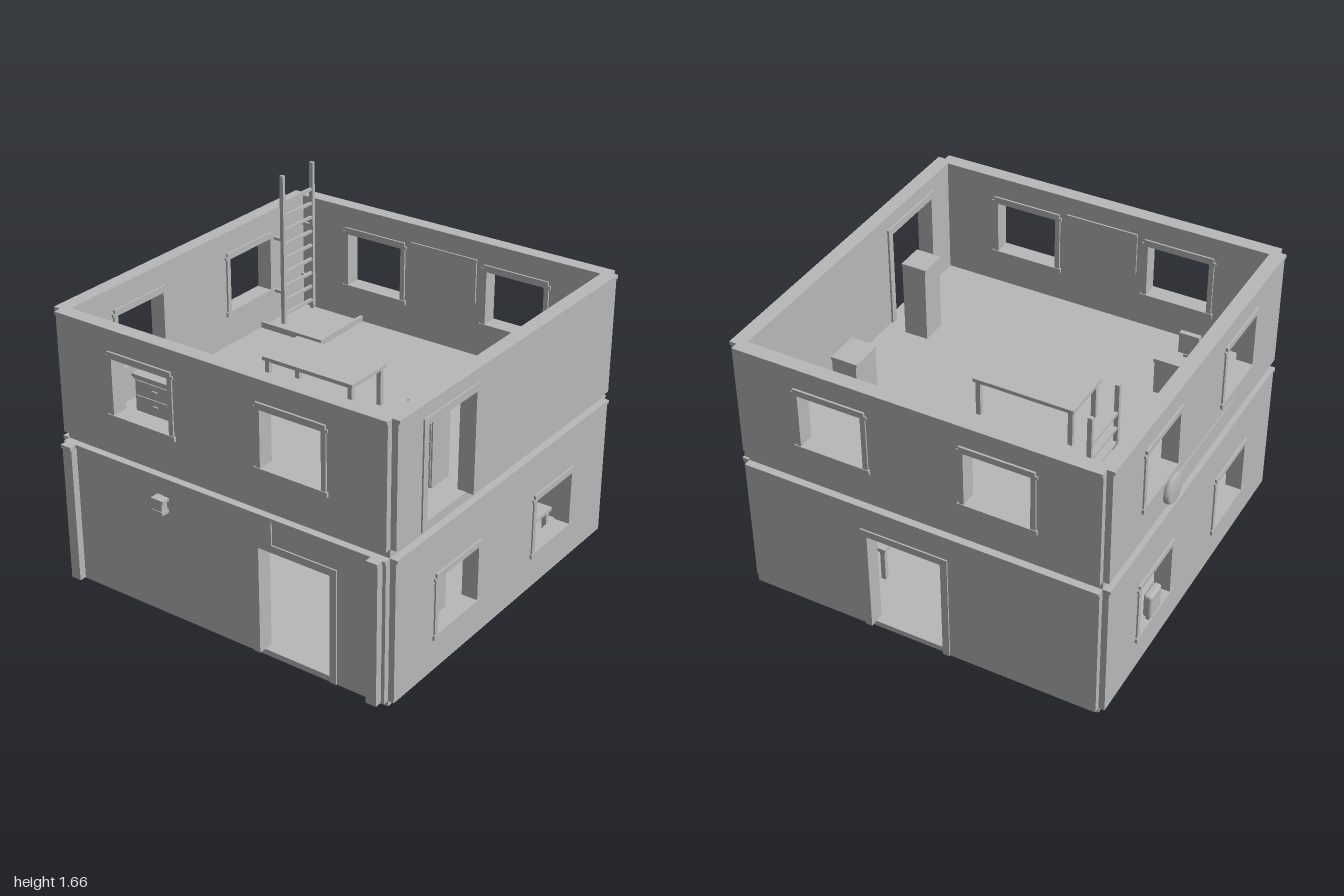
import * as THREE from 'three';
import { RoundedBoxGeometry } from 'three/addons/geometries/RoundedBoxGeometry.js';

const grey = new THREE.MeshStandardMaterial({ color: 0xb8b8b8 });
grey.name = 'plain grey';

const CORE = 0.937, INNER = 0.9, OUTER = 0.968, RIM = 0.976;

function add(parent, geometry, name) {
  const mesh = new THREE.Mesh(geometry, grey);
  mesh.name = name;
  parent.add(mesh);
  return mesh;
}

// Box given by its limits along each axis
function box(parent, name, x0, x1, y0, y1, z0, z1) {
  const mesh = add(parent, new THREE.BoxGeometry(x1 - x0, y1 - y0, z1 - z0), name);
  mesh.position.set((x0 + x1) / 2, (y0 + y1) / 2, (z0 + z1) / 2);
  return mesh;
}

// Cased opening: stepped window frame with sill, or plain door frame
function frame(parent, o) {
  const g = new THREE.Group();
  g.name = o.door ? 'doorFrame' : 'windowFrame';
  parent.add(g);
  const w = o.door ? 0.036 : 0.026, z0 = INNER - 0.01, z1 = RIM;
  for (const s of [-1, 1]) {
    const a = o.u + s * o.half, b = a + s * w;
    box(g, 'jamb', Math.min(a, b), Math.max(a, b), o.y0, o.y1, z0, z1);
  }
  if (o.door) {
    box(g, 'lintel', o.u - o.half - w, o.u + o.half + w, o.y1, o.y1 + 0.038, z0, z1);
  } else {
    box(g, 'lintel', o.u - o.half - 0.034, o.u + o.half + 0.034, o.y1 - 0.015, o.y1, z0, z1);
    box(g, 'lintelCap', o.u - o.half - 0.022, o.u + o.half + 0.022, o.y1, o.y1 + 0.02, z0, z1 + 0.003);
    box(g, 'sill', o.u - o.half - 0.034, o.u + o.half + 0.034, o.y0 - 0.025, o.y0, z0 - 0.004, z1 + 0.004);
  }
}

// One wall panel with openings and a top moulding, turned to its side
function wall(parent, name, angle, y0, y1, openings) {
  const g = new THREE.Group();
  g.name = name;
  g.rotation.y = angle;
  parent.add(g);
  const shape = new THREE.Shape();
  const bottomUp = [[-CORE, y0]];
  // Doors cut the bottom edge, windows become holes
  for (const o of openings.filter((p) => p.door)) {
    bottomUp.push([o.u - o.half, y0], [o.u - o.half, o.y1], [o.u + o.half, o.y1], [o.u + o.half, y0]);
  }
  bottomUp.push([CORE, y0], [CORE, y1], [-CORE, y1]);
  shape.setFromPoints(bottomUp.map((p) => new THREE.Vector2(...p)));
  for (const o of openings) {
    if (!o.door) {
      const a = o.u - o.half, b = o.u + o.half;
      shape.holes.push(new THREE.Path([[a, o.y0], [a, o.y1], [b, o.y1], [b, o.y0]].map((p) => new THREE.Vector2(...p))));
    }
    frame(g, o);
  }
  add(g, new THREE.ExtrudeGeometry(shape, { depth: OUTER - INNER, bevelEnabled: false }), 'wallPanel').position.z = INNER;
  box(g, 'moulding', -CORE, CORE, y1 - 0.018, y1, OUTER - 0.002, RIM);
  return g;
}

const windows = (y) => [-0.43, 0.43].map((u) => ({ u, half: 0.167, y0: y + 0.195, y1: y + 0.5 }));
const door = (u, half, y0, y1) => [{ u, half, y0, y1, door: true }];

// Table with four legs
function table(parent, name, x0, x1, z0, z1, y0, y1) {
  const g = new THREE.Group();
  g.name = name;
  parent.add(g);
  box(g, 'tableTop', x0, x1, y1 - 0.02, y1, z0, z1);
  for (const x of [x0 + 0.01, x1 - 0.035]) {
    for (const z of [z0 + 0.01, z1 - 0.035]) box(g, 'leg', x, x + 0.025, y0, y1 - 0.02, z, z + 0.025);
  }
  return g;
}

// Cabinet with drawer fronts and knobs facing the front
function cabinet(parent, name, x0, x1, z0, z1, y0, y1, rows) {
  const g = new THREE.Group();
  g.name = name;
  parent.add(g);
  box(g, 'carcass', x0 + 0.005, x1 - 0.005, y0, y1 - 0.015, z0, z1 - 0.008);
  box(g, 'top', x0, x1, y1 - 0.015, y1, z0, z1);
  const h = (y1 - y0 - 0.03) / rows;
  for (let i = 0; i < rows; i++) {
    const y = y0 + 0.01 + i * h;
    box(g, 'drawerFront', x0 + 0.012, x1 - 0.012, y + 0.004, y + h - 0.004, z1 - 0.01, z1 - 0.002);
    box(g, 'handle', (x0 + x1) / 2 - 0.015, (x0 + x1) / 2 + 0.015, y + h / 2, y + h / 2 + 0.008, z1 - 0.002, z1 + 0.006);
  }
}

export function createModel() {
  const root = new THREE.Group();
  root.name = 'twoStoreyBuilding';
  const shell = new THREE.Group();
  shell.name = 'shell';
  shell.position.set(0.008, 0, -0.024);
  root.add(shell);

  // Floors
  box(shell, 'groundSlab', -CORE, CORE, 0, 0.03, -CORE, CORE);
  box(shell, 'upperFloor', -CORE, CORE, 0.775, 0.827, -CORE, CORE);

  // Walls, with local +z pointing outwards
  const Q = Math.PI / 2;
  const front = wall(shell, 'lowerFrontWall', 0, 0.03, 0.78, door(0.442, 0.2, 0.03, 0.602));
  wall(shell, 'lowerRightSideWall', Q, 0.03, 0.78, windows(0.03));
  wall(shell, 'lowerBackWall', 2 * Q, 0.03, 0.78, door(-0.07, 0.198, 0.03, 0.602));
  wall(shell, 'lowerLeftSideWall', -Q, 0.03, 0.78, windows(0.03));
  const upperFront = wall(shell, 'upperFrontWall', 0, 0.825, 1.46, windows(0.825));
  wall(shell, 'upperRightSideWall', Q, 0.825, 1.46, door(-0.521, 0.19, 0.825, 1.347));
  const upperBack = wall(shell, 'upperBackWall', 2 * Q, 0.825, 1.46, windows(0.825));
  const upperSide = wall(shell, 'upperLeftSideWall', -Q, 0.825, 1.46, windows(0.825));

  // Boards inside the upper storey
  for (const w of [upperFront, upperBack]) box(w, 'wallBoard', -0.2, 0.2, 1.12, 1.36, INNER - 0.009, INNER + 0.001);

  // Front pilasters, shop board and lantern
  for (const s of [-1, 1]) {
    box(front, 'pilaster', s * 0.891 - 0.028, s * 0.891 + 0.028, 0.03, 0.762, OUTER - 0.01, 1.006);
    box(front, 'pilasterCap', s * 0.891 - 0.03, s * 0.891 + 0.03, 0.762, 0.78, OUTER - 0.01, 1.014);
  }
  box(front, 'signBoard', -0.318, 0.317, 0.636, 0.77, OUTER - 0.002, RIM);
  const lantern = new THREE.Group();
  lantern.name = 'lantern';
  lantern.position.set(-0.318, 0, 0.998);
  front.add(lantern);
  box(lantern, 'cap', -0.036, 0.036, 0.668, 0.684, -0.025, 0.024);
  box(lantern, 'body', -0.024, 0.024, 0.622, 0.668, -0.022, 0.018);
  box(lantern, 'foot', -0.03, 0.03, 0.602, 0.622, -0.025, 0.022);

  // Side board, round drum and rounded box on the -x side
  box(upperSide, 'sideBoard', -0.33, 0.4, 0.845, 0.945, OUTER - 0.002, OUTER + 0.006);
  const profile = [[0, 0], [0.08, 0], [0.08, 0.022], [0.07, 0.034], [0, 0.034]].map((p) => new THREE.Vector2(...p));
  const drum = add(root, new THREE.LatheGeometry(profile, 32), 'wallDrum');
  drum.rotation.z = Q;
  drum.position.set(-0.957, 0.92, -0.34);
  const pod = add(root, new RoundedBoxGeometry(0.045, 0.135, 0.115, 3, 0.014), 'hangingBox');
  pod.position.set(-0.967, 0.343, -0.493);
  box(root, 'hangingBoxBracket', -0.965, -0.945, 0.215, 0.29, -0.51, -0.475);

  // Roof ladder with wall brackets
  const ladder = new THREE.Group();
  ladder.name = 'ladder';
  root.add(ladder);
  for (const z of [-0.665, -0.922]) {
    box(ladder, 'rail', -0.835, -0.813, 0.827, 1.665, z, z + 0.02);
    for (const y of [1.0, 1.3]) box(ladder, 'bracket', -0.9, -0.83, y, y + 0.015, z + 0.002, z + 0.018);
  }
  for (let i = 0; i < 9; i++) {
    const y = 1.51 - i * 0.08;
    box(ladder, 'rung', -0.832, -0.816, y, y + 0.014, -0.91, -0.655);
  }

  // Floor curb around the ladder
  const curb = new THREE.Group();
  curb.name = 'hatchCurb';
  root.add(curb);
  box(curb, 'curbSide', -0.51, -0.495, 0.82, 0.86, -0.92, -0.54);
  box(curb, 'curbFront', -0.89, -0.51, 0.82, 0.86, -0.555, -0.54);

  // Upper storey furniture
  table(root, 'longTable', -0.39, 0.155, -0.2, 0.09, 0.827, 1.045);
  cabinet(root, 'lowCabinet', 0.655, 0.8, -0.44, -0.255, 0.827, 1.1, 3);
  cabinet(root, 'tallCabinet', 0.665, 0.805, 0.23, 0.38, 0.827, 1.245, 5);
  cabinet(root, 'desk', -0.8, -0.53, 0.38, 0.58, 0.827, 1.02, 2);
  box(root, 'deskTop', -0.805, -0.53, 1.015, 1.03, 0.375, 0.585);
  box(root, 'screenFoot', -0.7, -0.65, 1.03, 1.045, 0.46, 0.5);
  box(root, 'screen', -0.725, -0.62, 1.045, 1.16, 0.465, 0.492);

  // Lower storey furniture
  table(root, 'counter', 0.38, 0.84, -0.7, -0.35, 0.03, 0.235);
  box(root, 'counterTray', 0.51, 0.68, 0.235, 0.247, -0.6, -0.42);
  const stool = new THREE.Group();
  stool.name = 'chair';
  root.add(stool);
  box(stool, 'back', 0.39, 0.49, 0.07, 0.175, -0.27, -0.25);
  box(stool, 'seat', 0.39, 0.49, 0.11, 0.13, -0.35, -0.25);
  for (const x of [0.395, 0.465]) {
    for (const z of [-0.345, -0.275]) box(stool, 'leg', x, x + 0.02, 0.03, 0.11, z, z + 0.02);
  }
  cabinet(root, 'lowerCabinet', 0.69, 0.84, 0.28, 0.425, 0.03, 0.45, 4);

  return root;
}
